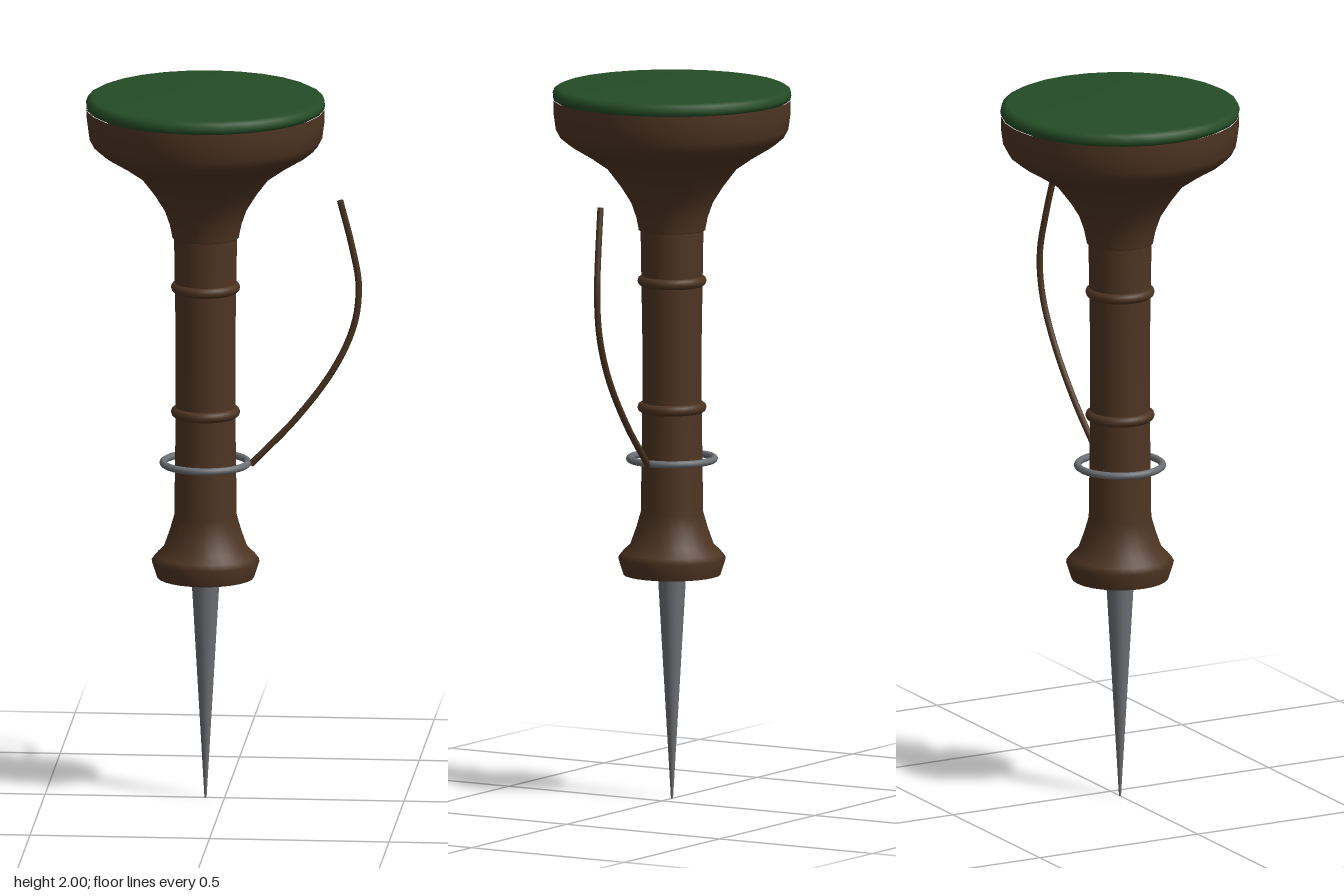
import * as THREE from 'three';

const mat = (name, color) => {
  const m = new THREE.MeshStandardMaterial({ color });
  m.name = name;
  return m;
};

export function createModel() {
  const wood = mat('dark wood', 0x4e3422);
  const felt = mat('green felt', 0x244c26);
  const metal = mat('steel', 0x6c6f74);
  const leather = mat('leather cord', 0x4a3420);

  const model = new THREE.Group();
  model.name = 'spikedHandle';
  // Everything turned shares one axis, offset to balance the cord
  const turned = new THREE.Group();
  turned.name = 'turnedParts';
  turned.position.x = -0.053;
  model.add(turned);

  const add = (parent, name, geometry, material) => {
    const mesh = new THREE.Mesh(geometry, material);
    mesh.name = name;
    parent.add(mesh);
    return mesh;
  };
  const lathe = (points, segments = 28) =>
    new THREE.LatheGeometry(points.map(([r, y]) => new THREE.Vector2(r, y)), segments);
  const ring = (name, radius, tube, y, material) => {
    const mesh = add(turned, name, new THREE.TorusGeometry(radius, tube, 10, 32), material);
    mesh.rotation.x = Math.PI / 2;
    mesh.position.y = y;
  };

  // Flared head and its padded top
  add(turned, 'head', lathe([
    [0, 1.598], [0.093, 1.598], [0.093, 1.6], [0.1, 1.635], [0.114, 1.675], [0.142, 1.72],
    [0.18, 1.77], [0.232, 1.806], [0.285, 1.838], [0.312, 1.86], [0.325, 1.885],
    [0.331, 1.93], [0.331, 1.965],
  ]), wood);
  add(turned, 'topPad', lathe([
    [0.318, 1.96], [0.33, 1.966], [0.333, 1.978], [0.328, 1.992], [0.314, 1.999], [0, 2],
  ]), felt);

  // Grip with a flared foot, closed by a flat underside
  add(turned, 'grip', lathe([
    [0.135, 0.63], [0.15, 0.677], [0.138, 0.693], [0.116, 0.715], [0.1, 0.76],
    [0.087, 0.805], [0.083, 1.1], [0.083, 1.3], [0.088, 1.61],
  ]), wood);
  const underside = add(turned, 'gripUnderside', new THREE.CircleGeometry(0.135, 28), wood);
  underside.rotation.x = Math.PI / 2;
  underside.position.y = 0.63;

  // Turned beads around the grip, and the loose metal ring
  for (const y of [1.1, 1.455]) ring('gripBead', 0.081, 0.015, y, wood);
  ring('cordRing', 0.118, 0.01, 0.955, metal);

  // Tapering spike
  const spike = add(turned, 'spike', new THREE.CylinderGeometry(0.04, 0.003, 0.64, 20), metal);
  spike.position.y = 0.32;

  // Hanging cord, swinging out from the ring
  const path = new THREE.CatmullRomCurve3([
    [0.073, 0.952, 0], [0.2, 1.085, -0.008], [0.306, 1.23, -0.015], [0.36, 1.354, -0.02],
    [0.372, 1.465, -0.02], [0.354, 1.575, -0.012], [0.322, 1.708, 0],
  ].map((p) => new THREE.Vector3(...p)));
  add(model, 'cord', new THREE.TubeGeometry(path, 32, 0.009, 8), leather);
  for (const [t, sign] of [[0, -1], [1, 1]]) {
    const cap = add(model, 'cordEnd', new THREE.CircleGeometry(0.009, 8), leather);
    cap.position.copy(path.getPoint(t));
    cap.quaternion.setFromUnitVectors(
      new THREE.Vector3(0, 0, 1), path.getTangent(t).multiplyScalar(sign));
  }
  return model;
}
